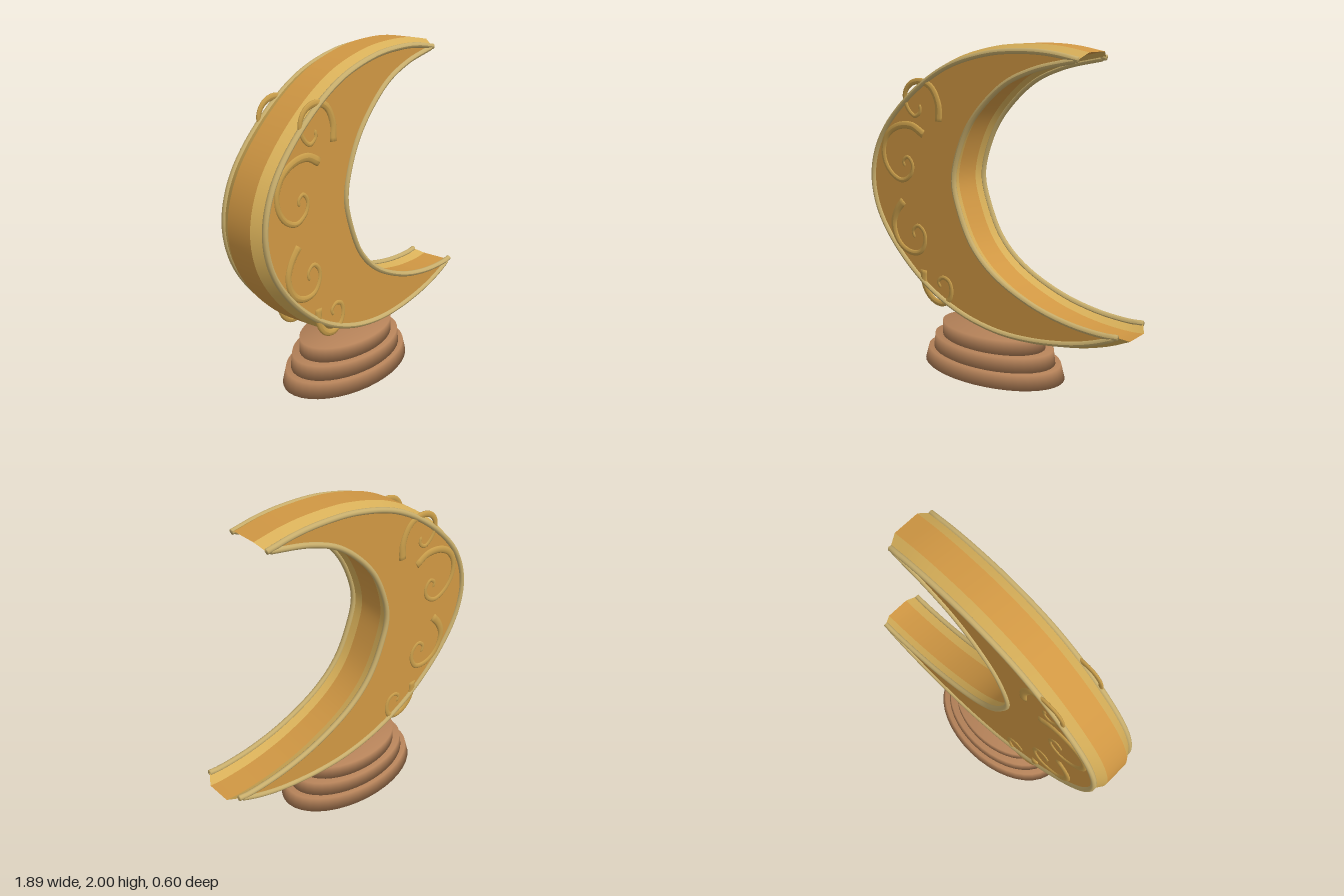
import * as THREE from 'three';

const CY = 1.13;          // centre the bevel shrinks towards
const INSET = 0.955;      // face size relative to the full outline
const FACE_Z = 0.145, MID_Z = 0.08;

const mat = (name, color, side = THREE.FrontSide) => {
  const m = new THREE.MeshStandardMaterial({ color, side });
  m.name = name;
  return m;
};

// Smooth planar curve through [x, y] pairs
const curve = (pts) =>
  new THREE.CatmullRomCurve3(pts.map(([x, y]) => new THREE.Vector3(x, y, 0)), false, 'centripetal');

// Crescent face outline, counter-clockwise: outer edge, then inner edge
const outer = curve([
  [0.616, 1.923], [0.45, 1.951], [0.275, 1.96], [0.01, 1.94], [-0.31, 1.845], [-0.625, 1.635],
  [-0.835, 1.395], [-0.907, 1.17], [-0.873, 0.95], [-0.73, 0.725], [-0.466, 0.493], [-0.2, 0.365],
  [0.06, 0.307], [0.3, 0.302], [0.59, 0.34], [0.78, 0.395], [0.9, 0.448]]);
const inner = curve([
  [0.9, 0.448], [0.82, 0.441], [0.59, 0.457], [0.33, 0.52], [0.06, 0.65], [-0.1, 0.8], [-0.2, 1.0],
  [-0.243, 1.18], [-0.2, 1.37], [-0.1, 1.555], [0.12, 1.765], [0.33, 1.86], [0.616, 1.923]]);

// Wall strip between two sections of the outline
function strip(points, [s0, z0], [s1, z1]) {
  const pos = [], idx = [];
  points.forEach((p, i) => {
    for (const [s, z] of [[s0, z0], [s1, z1]]) pos.push(p.x * s, CY + (p.y - CY) * s, z);
    if (i) {
      const a = 2 * i - 2;
      idx.push(a, a + 2, a + 3, a, a + 3, a + 1);
    }
  });
  const g = new THREE.BufferGeometry();
  g.setAttribute('position', new THREE.Float32BufferAttribute(pos, 3));
  g.setIndex(idx);
  g.computeVertexNormals();
  return g;
}

// Tube tapering from r0 to r1 with closed ends
function taperedTube(path, r0, r1, segments = 70, sides = 10) {
  const g = new THREE.TubeGeometry(path, segments, 1, sides, false);
  const pos = g.attributes.position, v = new THREE.Vector3();
  for (let i = 0; i <= segments; i++) {
    const closed = i === 0 || i === segments;
    const t = i <= 1 ? 0 : i / segments;
    const c = path.getPointAt(closed ? i / segments : t);
    const centre = path.getPointAt(i / segments);
    const r = closed ? 0 : r0 + (r1 - r0) * t;
    for (let j = 0; j <= sides; j++) {
      const k = i * (sides + 1) + j;
      v.fromBufferAttribute(pos, k).sub(centre).multiplyScalar(r).add(c);
      pos.setXYZ(k, v.x, v.y, v.z);
    }
  }
  g.computeVertexNormals();
  return g;
}

// Scroll centre lines, thick end first
const scrolls = [
  [[-0.355, 1.53], [-0.355, 1.63], [-0.41, 1.73], [-0.5, 1.762], [-0.58, 1.74], [-0.622, 1.68],
    [-0.605, 1.6], [-0.545, 1.55], [-0.5, 1.58], [-0.505, 1.625]],
  [[-0.48, 1.443], [-0.57, 1.487], [-0.68, 1.48], [-0.77, 1.427], [-0.813, 1.342], [-0.803, 1.247],
    [-0.745, 1.172], [-0.66, 1.14], [-0.587, 1.183], [-0.572, 1.247], [-0.61, 1.292], [-0.648, 1.263],
    [-0.635, 1.228]],
  [[-0.655, 1.008], [-0.71, 0.94], [-0.74, 0.865], [-0.728, 0.785], [-0.677, 0.716], [-0.593, 0.684],
    [-0.518, 0.7], [-0.478, 0.77], [-0.488, 0.832], [-0.535, 0.865], [-0.578, 0.828], [-0.565, 0.78]],
  [[-0.493, 0.584], [-0.493, 0.52], [-0.465, 0.45], [-0.412, 0.404], [-0.345, 0.393], [-0.287, 0.43],
    [-0.27, 0.493], [-0.29, 0.547], [-0.338, 0.562], [-0.375, 0.53], [-0.355, 0.494]],
];

export function createModel() {
  const gold = mat('orange gold', 0xd09743, THREE.DoubleSide);
  const paleGold = mat('yellow gold', 0xd6ae58);
  const trimGold = mat('dull pale gold', 0xc8ae6c);
  const scrollGold = mat('scroll gold', 0xc89d4a);
  const wood = mat('brown', 0xb58259);

  const model = new THREE.Group();
  model.name = 'crescentOrnament';
  const add = (name, geometry, material, parent = model) => {
    const m = new THREE.Mesh(geometry, material);
    m.name = name;
    parent.add(m);
    return m;
  };

  // Crescent walls with bevelled edges
  const edges = { outer: outer.getSpacedPoints(90), inner: inner.getSpacedPoints(70) };
  const full = 1 / INSET;
  for (const [name, pts] of Object.entries(edges)) {
    add(name + 'Wall', strip(pts, [full, -MID_Z], [full, MID_Z]), gold);
    add(name + 'BevelFront', strip(pts, [full, MID_Z], [1, FACE_Z]), paleGold);
    add(name + 'BevelBack', strip(pts, [1, -FACE_Z], [full, -MID_Z]), paleGold);
  }

  // Faces, trim and scrolls on both sides
  const outline = [...edges.outer, ...edges.inner.slice(1, -1)].map((p) => new THREE.Vector2(p.x, p.y));
  const faceGeo = new THREE.ShapeGeometry(new THREE.Shape(outline));
  const trimGeos = [taperedTube(outer, 0.017, 0.017, 120), taperedTube(inner, 0.017, 0.017, 100)];
  const scrollGeos = scrolls.map((pts) => taperedTube(curve(pts), 0.027, 0.011));
  for (const [side, z] of [['front', FACE_Z], ['back', -FACE_Z]]) {
    const group = new THREE.Group();
    group.name = side + 'Side';
    group.position.z = z;
    model.add(group);
    add('crescentFace', faceGeo, gold, group);
    trimGeos.forEach((g, i) => add(i ? 'innerTrim' : 'outerTrim', g, trimGold, group));
    scrollGeos.forEach((g, i) => {
      add('scroll' + (i + 1), g, scrollGold, group).scale.z = 0.5;
    });
  }

  // Oval stepped base
  const tiers = [[0, 0.495, 0.47], [0.09, 0.432, 0.42], [0.18, 0.365, 0.363]];
  tiers.forEach(([y, bottom, top], i) => {
    const profile = [[0, 0], [bottom, 0], [top, 0.09], [0, 0.09]].map((p) => new THREE.Vector2(...p));
    const tier = add('baseTier' + (i + 1), new THREE.LatheGeometry(profile, 40), wood);
    tier.position.set(-0.057, y, 0);
    tier.scale.z = 0.605;
  });

  return model;
}
